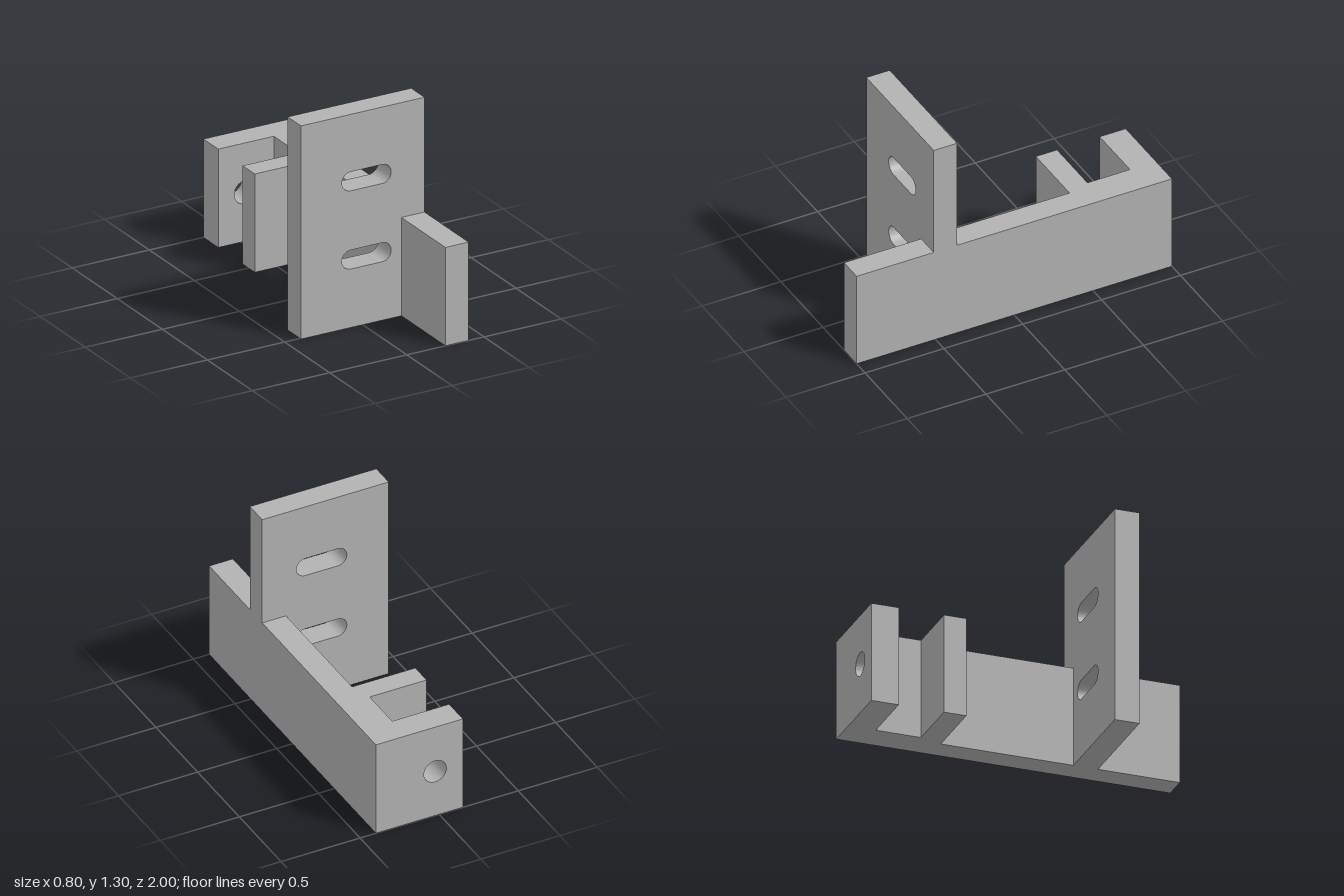
import * as THREE from 'three';
import { toCreasedNormals } from 'three/addons/utils/BufferGeometryUtils.js';

const metal = new THREE.MeshStandardMaterial({ color: 0xb2b2b2 });
metal.name = 'grey metal';

const outline = (points) => new THREE.Shape(points.map(([x, y]) => new THREE.Vector2(x, y)));

function extrude(shape, depth) {
  const geometry = new THREE.ExtrudeGeometry(shape, { depth, bevelEnabled: false, curveSegments: 24 });
  return toCreasedNormals(geometry, 0.6);
}

function addPart(group, name, geometry) {
  const mesh = new THREE.Mesh(geometry, metal);
  mesh.name = name;
  group.add(mesh);
}

// Horizontal slot with rounded ends
function slot(x0, x1, y, r) {
  const path = new THREE.Path();
  path.moveTo(x0 + r, y - r);
  path.lineTo(x1 - r, y - r);
  path.absarc(x1 - r, y, r, -Math.PI / 2, Math.PI / 2, false);
  path.lineTo(x0 + r, y + r);
  path.absarc(x0 + r, y, r, Math.PI / 2, Math.PI * 1.5, false);
  return path;
}

export function createModel() {
  const group = new THREE.Group();
  group.name = 'mounting bracket';

  // Long side arm with the inner clamp jaw, drawn as [x, z] and raised upward
  const footprint = [
    [0.4, 1], [0.4, -1], [0.21, -1], [0.21, -0.565],
    [-0.15, -0.565], [-0.15, -0.43], [0.25, -0.43], [0.25, 1],
  ].map(([x, z]) => [x, -z]);
  addPart(group, 'armAndInnerJaw', extrude(outline(footprint), 0.6).rotateX(-Math.PI / 2));

  // Outer clamp jaw with a round screw hole
  const jaw = outline([[-0.15, 0], [0.21, 0], [0.21, 0.6], [-0.15, 0.6]]);
  const hole = new THREE.Path();
  hole.absarc(0.025, 0.3, 0.071, 0, Math.PI * 2, false);
  jaw.holes.push(hole);
  addPart(group, 'outerJaw', extrude(jaw, 0.165).translate(0, 0, -1));

  // Upright plate, notched around the arm, with two slots
  const plate = outline([[-0.4, 0], [0.25, 0], [0.25, 0.6], [0.4, 0.6], [0.4, 1.3], [-0.4, 1.3]]);
  for (const y of [0.415, 0.892]) plate.holes.push(slot(-0.135, 0.184, y, 0.058));
  addPart(group, 'slottedPlate', extrude(plate, 0.148).translate(0, 0, 0.363));

  return group;
}
